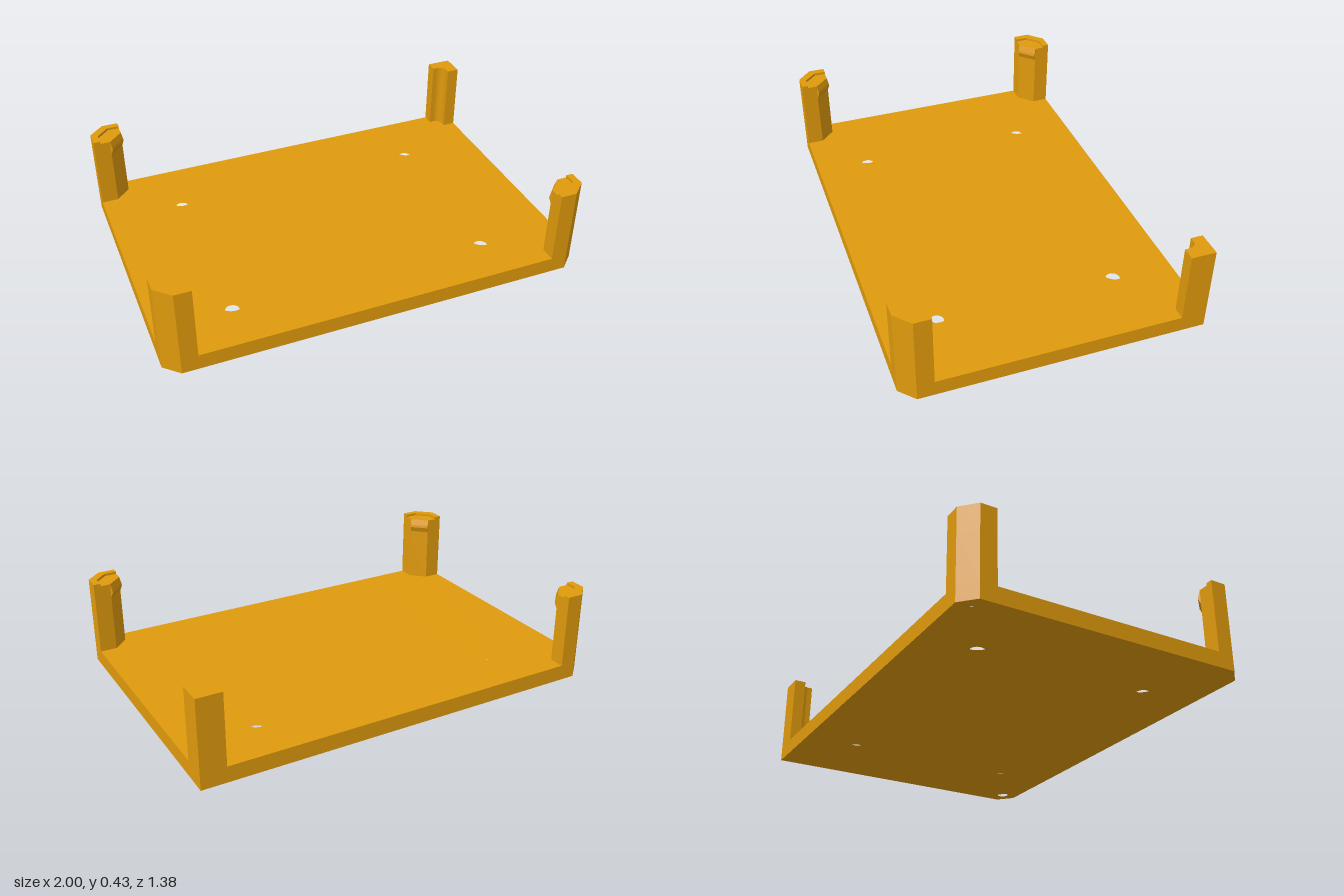
import * as THREE from 'three';

const BASE_TOP = 0.075, LEDGE = 0.415, RIM = 0.427;
const X = 1, Z = 0.688;

const material = new THREE.MeshStandardMaterial({ color: 0xe09a0c, flatShading: true });

// Extrudes a plan outline of [x, z] points upward from y0 to y1; holes are [x, z, radius].
function slab(name, points, y0, y1, holes = []) {
  const shape = new THREE.Shape(points.map(([x, z]) => new THREE.Vector2(x, -z)));
  for (const [x, z, r] of holes) {
    shape.holes.push(new THREE.Path().absarc(x, -z, r, 0, Math.PI * 2, true));
  }
  const geometry = new THREE.ExtrudeGeometry(shape, { depth: y1 - y0, bevelEnabled: false, curveSegments: 32 });
  geometry.rotateX(-Math.PI / 2).translate(0, y0, 0);
  const mesh = new THREE.Mesh(geometry, material);
  mesh.name = name;
  return mesh;
}

// Corner post with chamfered outside, diagonal inside, board ledge and snap clip.
function clipPost(sx, sz) {
  const post = new THREE.Group();
  post.name = 'clipPost';
  const place = (pts) => pts.map(([x, z]) => [x * sx, z * sz]);
  const outer = [[0.853, Z], [0.93, Z], [X, 0.622], [X, 0.545]];
  const body = place([...outer, [0.921, 0.545], [0.853, 0.613]]);
  const rim = place([...outer, [0.967, 0.545], [0.967, 0.6], [0.91, 0.657], [0.853, 0.657]]);
  post.add(
    slab('postLower', body, BASE_TOP, 0.3, [[0.911 * sx, 0.607 * sz, 0.028]]),
    slab('postUpper', body, 0.3, LEDGE),
    slab('postRim', rim, LEDGE, RIM),
  );

  // Snap ridge running along the diagonal face
  const profile = new THREE.Shape([[-0.004, 0.345], [0, 0.345], [0.011, 0.372], [0.009, 0.385], [0, LEDGE], [-0.004, LEDGE]]
    .map(([x, y]) => new THREE.Vector2(x, y)));
  const length = 0.096;
  const geometry = new THREE.ExtrudeGeometry(profile, { depth: length, bevelEnabled: false });
  geometry.translate(0, 0, -length / 2);
  const clip = new THREE.Mesh(geometry, material);
  clip.name = 'snapRidge';
  clip.rotation.y = Math.atan2(sz, -sx);
  clip.position.set(0.887 * sx, 0, 0.579 * sz);
  post.add(clip);
  return post;
}

// Plain L-shaped post with a rounded inner corner.
function squarePost() {
  const points = [[0.882, -Z], [0.882, -0.632]];
  const r = 0.037;
  for (let i = 0; i <= 8; i++) {
    const a = (i / 8) * Math.PI / 2;
    points.push([0.94 - r + r * Math.sin(a), -0.632 + r - r * Math.cos(a)]);
  }
  points.push([0.94, -0.573], [X, -0.573], [X, -Z]);
  return slab('squarePost', points, BASE_TOP, LEDGE);
}

export function createModel() {
  const model = new THREE.Group();
  model.name = 'boardTray';

  const outline = [
    [X, -Z], [X, 0.622], [0.93, Z], [-0.93, Z],
    [-X, 0.622], [-X, -0.622], [-0.93, -Z],
  ];
  const clipCorners = [[1, 1], [-1, 1], [-1, -1]];
  const screws = [[1, 1], [-1, 1], [-1, -1], [1, -1]].map(([sx, sz]) => [0.625 * sx, 0.423 * sz]);
  const bores = clipCorners.map(([sx, sz]) => [0.911 * sx, 0.607 * sz, 0.028]);

  // Base plate in two layers, so the screw holes are counterbored from above
  model.add(
    slab('baseLower', outline, 0, 0.03, [...screws.map((p) => [...p, 0.033]), ...bores]),
    slab('baseUpper', outline, 0.03, BASE_TOP, [...screws.map((p) => [...p, 0.058]), ...bores]),
  );

  // Three clip posts and one plain post
  for (const [sx, sz] of clipCorners) model.add(clipPost(sx, sz));
  model.add(squarePost());
  return model;
}
